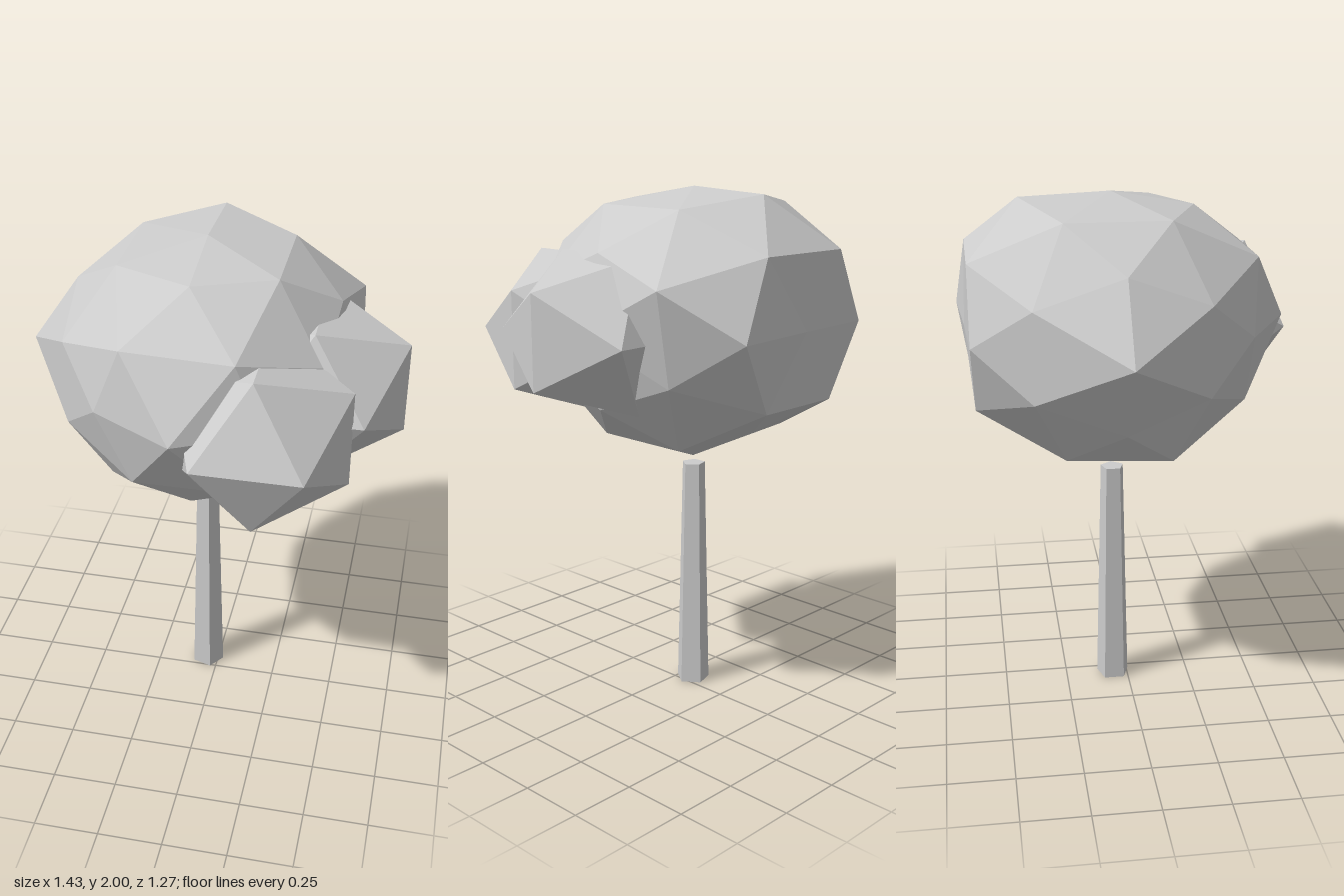
import * as THREE from 'three';

const leafGrey = new THREE.MeshStandardMaterial({ color: 0xcccccc });
leafGrey.name = 'paleGrey';

// Faceted ball with an edge running front to back over its top
function facetedBall(detail) {
  return new THREE.IcosahedronGeometry(1, detail).rotateY(Math.PI / 2);
}

function addPart(group, name, geometry) {
  const flat = geometry.index ? geometry.toNonIndexed() : geometry;
  flat.computeVertexNormals();
  const mesh = new THREE.Mesh(flat, leafGrey);
  mesh.name = name;
  group.add(mesh);
  return mesh;
}

// Hand-pulled crown corners: direction from the middle, then final position
const pulled = [
  [[0, 1, 0], [-0.04, 2.0, -0.06]],
  [[0, 0.851, 0.526], [-0.04, 1.945, 0.25]],
  [[0, 0.851, -0.526], [-0.04, 1.985, -0.4]],
  [[0, 0, 1], [-0.04, 1.515, 0.6]],
  [[0, 0, -1], [-0.04, 1.515, -0.61]],
  [[-1, 0, 0], [-0.72, 1.52, -0.06]],
  [[0, -1, 0], [-0.04, 0.955, -0.06]],
  [[0, -0.851, 0.526], [-0.04, 1.065, 0.26]],
  [[0, -0.851, -0.526], [-0.04, 1.1, -0.36]],
  [[0.526, 0, -0.851], [0.315, 1.515, -0.635]],
  [[-0.526, 0, -0.851], [-0.37, 1.515, -0.595]],
  [[-0.526, 0, 0.851], [-0.35, 1.515, 0.425]],
  [[0.809, 0.309, -0.5], [0.505, 1.695, -0.4]],
  [[0.309, 0.5, 0.809], [0.16, 1.775, 0.46]],
  [[-0.309, 0.5, 0.809], [-0.24, 1.785, 0.455]],
  [[0.309, 0.5, -0.809], [0.165, 1.795, -0.597]],
  [[-0.309, 0.5, -0.809], [-0.245, 1.79, -0.595]],
  [[-0.5, -0.809, 0.309], [-0.38, 1.065, 0.13]],
].map(([d, p]) => [new THREE.Vector3(...d), new THREE.Vector3(...p)]);

// Large crown: squashed ball with a few irregular corners
function crownGeometry() {
  const geometry = facetedBall(1);
  const pos = geometry.attributes.position;
  const v = new THREE.Vector3();
  for (let i = 0; i < pos.count; i++) {
    v.fromBufferAttribute(pos, i);
    const match = pulled.find(([d]) => d.dot(v) > 0.98);
    if (match) v.copy(match[1]);
    else v.set(
      -0.04 + v.x * 0.58,
      1.515 + v.y * (v.y > 0 ? 0.525 : 0.555),
      -0.06 + v.z * (v.z > 0 ? 0.6 : 0.645));
    pos.setXYZ(i, v.x, v.y, v.z);
  }
  return geometry;
}

export function createModel() {
  const tree = new THREE.Group();
  tree.name = 'tree';

  // Tapered five-sided trunk, one corner towards +x
  const trunk = new THREE.CylinderGeometry(0.046, 0.067, 0.925, 5, 1, false, Math.PI / 2);
  addPart(tree, 'trunk', trunk).position.set(-0.045, 0.4625, -0.057);

  addPart(tree, 'crown', crownGeometry());

  // Small leaf clumps growing out of the crown
  const clumps = [
    ['sideClump', [0.39, 1.495, 0], [0.38, 0.335, 0.375]],
    ['frontClump', [0.23, 1.445, 0.31], [0.375, 0.355, 0.378]],
  ];
  for (const [name, centre, radii] of clumps) {
    addPart(tree, name, facetedBall(0).scale(...radii).translate(...centre));
  }
  return tree;
}
